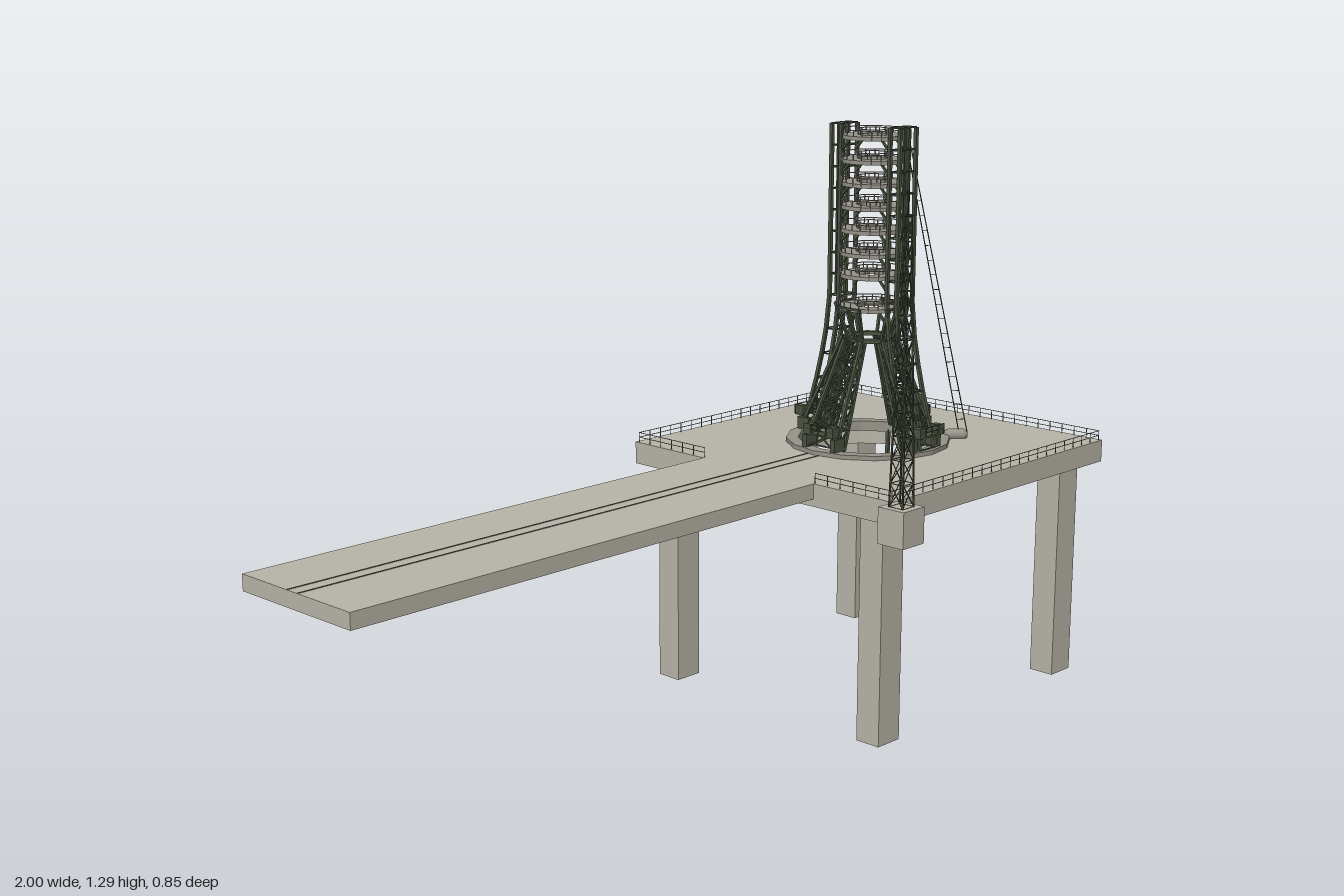
import * as THREE from 'three';
import { mergeGeometries } from 'three/addons/utils/BufferGeometryUtils.js';

const V = (x, y, z) => new THREE.Vector3(x, y, z);
const UP = V(0, 1, 0);
const TAU = Math.PI * 2;

// square bar between two points
function bar(a, b, w) {
  const d = b.clone().sub(a);
  const g = new THREE.BoxGeometry(w, d.length(), w);
  g.applyQuaternion(new THREE.Quaternion().setFromUnitVectors(UP, d.clone().normalize()));
  const m = a.clone().add(b).multiplyScalar(0.5);
  return g.translate(m.x, m.y, m.z);
}

function box(x0, x1, y0, y1, z0, z1) {
  return new THREE.BoxGeometry(x1 - x0, y1 - y0, z1 - z0)
    .translate((x0 + x1) / 2, (y0 + y1) / 2, (z0 + z1) / 2);
}

// four-chord lattice through a list of four-corner stations, with 0, 1 or 2 diagonals per bay
function truss(stations, chord, brace, diagonals) {
  const out = [];
  stations.forEach((s, i) => {
    for (let k = 0; k < 4; k++) {
      const n = (k + 1) % 4;
      out.push(bar(s[k], s[n], brace));
      const up = stations[i + 1];
      if (!up) continue;
      out.push(bar(s[k], up[k], chord));
      if (diagonals > 1 || (diagonals && i % 2)) out.push(bar(s[k], up[n], brace));
      if (diagonals > 1 || (diagonals && i % 2 === 0)) out.push(bar(s[n], up[k], brace));
    }
  });
  return out;
}

// flat ring lying between two heights
function ring(inner, outer, y0, y1, seg) {
  const p = [[inner, y0], [outer, y0], [outer, y1], [inner, y1], [inner, y0]];
  const g = new THREE.LatheGeometry(p.map(q => new THREE.Vector2(...q)), seg).toNonIndexed();
  g.computeVertexNormals();
  return g;
}

// point in a frame turned by angle a: radius r, sideways offset t
const polar = (a, r, t, y) => V(
  Math.cos(a) * r - Math.sin(a) * t, y, Math.sin(a) * r + Math.cos(a) * t);

// upright guard rail along a line
function railing(a, b, h, step, w) {
  const n = Math.max(1, Math.round(a.distanceTo(b) / step)), out = [];
  for (let i = 0; i <= n; i++) {
    const p = a.clone().lerp(b, i / n);
    out.push(bar(p, p.clone().setY(p.y + h), w));
  }
  for (const f of [0.5, 1]) {
    const o = V(0, h * f, 0);
    out.push(bar(a.clone().add(o), b.clone().add(o), w));
  }
  return out;
}

export function createModel() {
  const root = new THREE.Group();
  const mat = (name, color) => {
    const m = new THREE.MeshStandardMaterial({ color });
    m.name = name;
    return m;
  };
  const concrete = mat('concrete', 0xb8b4a9);
  const steel = mat('dark green steel', 0x4a5341);
  const plate = mat('gallery grey', 0x96938a);
  const track = mat('track steel', 0x74726c);

  const add = (parent, name, material, geos) => {
    const list = geos.map(g => (g.index ? g.toNonIndexed() : g));
    const m = new THREE.Mesh(list.length > 1 ? mergeGeometries(list) : list[0], material);
    m.name = name;
    parent.add(m);
  };

  const CX = 0.612, CZ = -0.042;
  const X0 = 0.23, X1 = 1, Z0 = -0.422, Z1 = 0.343, TOP = 0.564;

  // deck with round opening
  const s = new THREE.Shape();
  s.moveTo(X0, -Z1).lineTo(X1, -Z1).lineTo(X1, -Z0).lineTo(X0, -Z0).closePath();
  s.holes.push(new THREE.Path().absarc(CX, -CZ, 0.186, 0, TAU, true));
  const deck = new THREE.ExtrudeGeometry(s, { depth: TOP - 0.513, bevelEnabled: false, curveSegments: 24 });
  deck.rotateX(-Math.PI / 2).translate(0, 0.513, 0);
  add(root, 'deck', concrete, [deck]);

  // four concrete piers
  const piers = [];
  for (const x of [0.257, 0.9])
    for (const z of [-0.373, 0.236]) piers.push(box(x, x + 0.07, 0, 0.513, z, z + 0.062));
  add(root, 'piers', concrete, piers);

  // approach road and its two rails
  add(root, 'approachRoad', concrete, [box(-1, X0, 0.53, TOP, -0.203, 0.126)]);
  add(root, 'roadRails', track, [-0.061, -0.029].map(z =>
    box(-1, CX - 0.188, TOP, TOP + 0.0015, z - 0.001, z + 0.001)));

  // deck guard rails, open where the road arrives
  const e = 0.006, c = (x, z) => V(x, TOP, z);
  const edges = [
    [c(X0 + e, Z1 - e), c(X1 - e, Z1 - e)], [c(X0 + e, Z0 + e), c(X1 - e, Z0 + e)],
    [c(X1 - e, Z0 + e), c(X1 - e, Z1 - e)],
    [c(X0 + e, Z0 + e), c(X0 + e, -0.205)], [c(X0 + e, 0.125), c(X0 + e, Z1 - e)],
  ];
  add(root, 'deckRailing', track, edges.flatMap(([a, b]) => railing(a, b, 0.022, 0.035, 0.0013)));

  // lattice mast on its block
  const mast = new THREE.Group();
  mast.name = 'mast';
  mast.position.set(0.203, 0, 0.389);
  root.add(mast);
  add(mast, 'mastBlock', concrete, [box(-0.034, 0.034, 0.49, 0.569, -0.034, 0.034)]);
  const ms = [];
  for (let i = 0; i <= 12; i++) {
    const h = 0.018 - 0.013 * i / 12, y = 0.569 + 0.598 * i / 12;
    ms.push([V(-h, y, -h), V(h, y, -h), V(h, y, h), V(-h, y, h)]);
  }
  add(mast, 'mastLattice', steel, [...truss(ms, 0.003, 0.0015, 2),
    bar(V(0, 1.165, 0), V(0, 1.22, 0), 0.002)]);

  const tower = new THREE.Group();
  tower.name = 'launchTower';
  tower.position.set(CX, 0, CZ);
  root.add(tower);

  // turntable ring and the service gallery hung beneath
  add(tower, 'turntable', plate, [ring(0.162, 0.19, 0.55, 0.574, 16)]);
  add(tower, 'lowerGallery', plate, [ring(0.145, 0.167, 0.435, 0.443, 12)]);
  const hang = [];
  for (let i = 0; i < 8; i++) {
    const a = (i + 0.5) * TAU / 8;
    hang.push(bar(polar(a, 0.16, 0, 0.44), polar(a, 0.165, 0, 0.555), 0.008));
    hang.push(bar(polar(a, 0.146, 0, 0.44), polar(a, 0.146, 0, 0.463), 0.003));
  }
  hang.push(ring(0.144, 0.148, 0.46, 0.463, 24));
  add(tower, 'galleryHangers', steel, hang);

  // four leaning support arms with feet and walkways
  const arms = [], feet = [], petals = [];
  for (let k = 0; k < 4; k++) {
    const a = k * TAU / 4, st = [], R = k % 2 ? 0.176 : 0.164;
    for (let i = 0; i <= 5; i++) {
      const f = i / 5, y = 0.572 + 0.238 * f;
      const ri = 0.138 - 0.092 * f, ro = 0.17 - 0.11 * f, t = 0.045 - 0.02 * f;
      st.push([polar(a, ri, -t, y), polar(a, ro, -t, y), polar(a, ro, t, y), polar(a, ri, t, y)]);
    }
    arms.push(...truss(st, 0.007, 0.003, k % 2 ? 1 : 2));
    for (const t of [-0.042, 0.042]) {
      feet.push(new THREE.BoxGeometry(0.034, 0.03, 0.014).translate(0.158, 0.588, t).rotateY(-a));
      feet.push(new THREE.BoxGeometry(0.024, 0.02, 0.018).translate(R, 0.618, t * 0.8).rotateY(-a));
    }
    feet.push(new THREE.BoxGeometry(0.024, 0.004, 0.086).translate(R, 0.607, 0).rotateY(-a));
    arms.push(...railing(polar(a, R + 0.012, -0.043, 0.607), polar(a, R + 0.012, 0.043, 0.607), 0.022, 0.02, 0.0016));
    // petals flaring out above the waist
    for (const t of [-0.02, 0, 0.02])
      petals.push(bar(polar(a, 0.05, t, 0.81), polar(a, 0.078, t * 1.6, 0.885), 0.006));
    petals.push(bar(polar(a, 0.078, -0.032, 0.885), polar(a, 0.078, 0.032, 0.885), 0.005));
  }
  add(tower, 'supportArms', steel, arms);
  add(tower, 'armFeet', steel, feet);
  add(tower, 'petals', steel, petals);
  add(tower, 'waistRing', steel, [ring(0.044, 0.06, 0.805, 0.814, 16)]);

  // two tall columns that flare outward at the foot
  const path = [[0.575, 0.142, 0.176], [0.64, 0.122, 0.153], [0.7, 0.105, 0.135], [0.76, 0.091, 0.12],
    [0.82, 0.08, 0.108], [0.9, 0.071, 0.099]];
  for (let i = 1; i <= 8; i++) path.push([0.9 + 0.393 * i / 8, 0.071, 0.099]);
  const cols = [], brackets = [];
  const levels = [0.876, 0.95, 1.0, 1.053, 1.106, 1.158, 1.21, 1.263];
  for (const a of [Math.PI / 2, -Math.PI / 2]) {
    cols.push(...truss(path.map(([y, ri, ro]) => [polar(a, ri, -0.028, y), polar(a, ro, -0.028, y),
      polar(a, ro, 0.028, y), polar(a, ri, 0.028, y)]), 0.008, 0.003, 0));
    for (const t of [-0.01, 0.01])
      cols.push(bar(polar(a, 0.096, t, 0.9), polar(a, 0.096, t, 1.29), 0.004));
    for (const y of levels)
      for (const t of [-0.025, 0.025])
        brackets.push(bar(polar(a, 0.071, t, y - 0.028), polar(a, 0.045, t, y), 0.005));
  }
  add(tower, 'columns', steel, cols);
  add(tower, 'galleryBrackets', steel, brackets);

  // stacked ring galleries with rails
  const floors = [], rails = [];
  for (const y of levels) {
    floors.push(ring(0.034, 0.071, y, y + 0.009, 20));
    rails.push(ring(0.069, 0.071, y + 0.021, y + 0.023, 20), ring(0.034, 0.036, y + 0.021, y + 0.023, 20));
    for (let i = 0; i < 20; i++) {
      const a = i * TAU / 20;
      rails.push(bar(polar(a, 0.07, 0, y), polar(a, 0.07, 0, y + 0.022), 0.002));
      if (i % 2) rails.push(bar(polar(a, 0.035, 0, y), polar(a, 0.035, 0, y + 0.022), 0.002));
    }
  }
  add(tower, 'galleryFloors', plate, floors);
  add(tower, 'galleryRails', plate, rails);

  // slanting escape line with rungs and landing block
  const line = [], a0 = V(0.073, 1.255, 0.04), b0 = V(0.179, 0.575, 0.14);
  for (const o of [-1, 1]) {
    const d = V(0.008 * o, 0, 0.006 * o);
    line.push(bar(a0.clone().addScaledVector(d, 0.4), b0.clone().add(d), 0.0018));
  }
  for (let i = 1; i < 20; i++) {
    const p = a0.clone().lerp(b0, i / 20), w = 0.4 + 0.6 * i / 20;
    line.push(bar(p.clone().add(V(-0.008 * w, 0, -0.006 * w)), p.clone().add(V(0.008 * w, 0, 0.006 * w)), 0.001));
  }
  add(tower, 'escapeLine', steel, line);
  add(tower, 'landingBlock', plate, [new THREE.CapsuleGeometry(0.014, 0.03, 4, 12)
    .rotateZ(Math.PI / 2).rotateY(-0.75).translate(0.168, TOP + 0.008, 0.126)]);

  return root;
}
